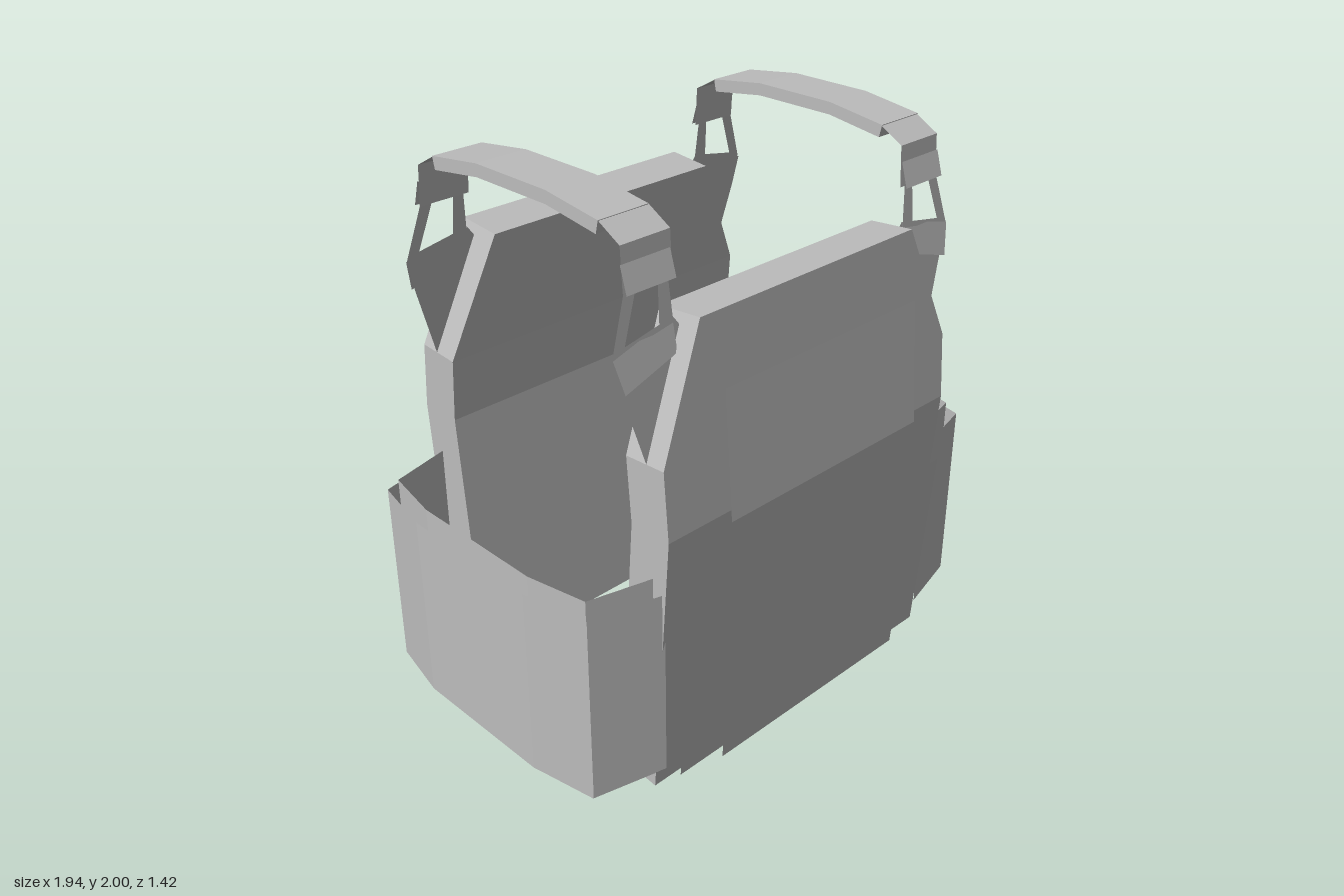
import * as THREE from 'three';

const fabric = new THREE.MeshStandardMaterial({ color: 0xbcbcbc, side: THREE.DoubleSide, flatShading: true });
fabric.name = 'greyFabric';

function add(parent, name, geometry) {
  const mesh = new THREE.Mesh(geometry, fabric);
  mesh.name = name;
  parent.add(mesh);
  return mesh;
}

// Flat-faced geometry from a list of four-cornered faces
function quads(faces) {
  const pos = [];
  for (const [a, b, c, d] of faces) pos.push(...a, ...b, ...c, ...a, ...c, ...d);
  const g = new THREE.BufferGeometry();
  g.setAttribute('position', new THREE.Float32BufferAttribute(pos, 3));
  g.computeVertexNormals();
  return g;
}

// Ribbon between two matching polylines
const strip = (a, b) => quads(a.slice(1).map((p, i) => [a[i], p, b[i + 1], b[i]]));

// Flat cloth outline in x/y, leaned in depth by a rule z(y)
function sheet(outline, z, holes = []) {
  const toV = (l) => l.map(([x, y]) => new THREE.Vector2(x, y));
  const shape = new THREE.Shape(toV(outline));
  for (const h of holes) shape.holes.push(new THREE.Path(toV(h)));
  const g = new THREE.ShapeGeometry(shape);
  const p = g.attributes.position;
  for (let i = 0; i < p.count; i++) p.setZ(i, z(p.getY(i)));
  g.computeVertexNormals();
  return g;
}

// Outline symmetric about x = 0, from its right-hand points going up
const both = (pts) => [...pts, ...pts.map(([x, y]) => [-x, y]).reverse()];

// Lean of the panel below and above its bend at y = 1
const lower = (z) => (y) => z + 0.075 * (y - 1);
const upper = (z) => (y) => z - 0.083 * (y - 1);

function platePanel() {
  // half width, outer y, outer z, inner y, inner z
  const rings = [
    [0.67, 0, 0.54, 0.015, 0.375],
    [0.67, 1, 0.613, 1, 0.45],
    [0.67, 1.24, 0.594, 1.23, 0.432],
    [0.49, 1.665, 0.56, 1.65, 0.392],
  ].map(([w, yo, zo, yi, zi]) => [[-w, yo, zo], [w, yo, zo], [w, yi, zi], [-w, yi, zi]]);
  const faces = [[...rings[0]].reverse(), rings[3]];
  for (let i = 0; i < 3; i++) {
    for (let j = 0; j < 4; j++) {
      const k = (j + 1) % 4;
      faces.push([rings[i][j], rings[i][k], rings[i + 1][k], rings[i + 1][j]]);
    }
  }
  return quads(faces);
}

// Front or back half: panel, layered flaps, patch and strap fittings
function half(name, patch) {
  const g = new THREE.Group();
  g.name = name;
  add(g, 'platePanel', platePanel());
  add(g, 'lowerFlap', sheet(both([[0.615, 0.055], [0.615, 0.78], [0.5, 0.78], [0.5, 1]]), lower(0.676)));
  add(g, 'pouchFace', sheet(both([[0.45, 0.05], [0.45, 1]]), lower(0.708)));
  add(g, 'chestField', sheet(both([[0.45, 1], [0.45, 1.445]]), upper(0.662)));
  add(g, 'chestPatch', sheet(both(patch), upper(0.667)));

  for (const s of [1, -1]) {
    const m = (pts) => pts.map(([x, y]) => [s * x, y]);
    const lean = (off) => (y) => 0.52 + off - 0.08 * (y - 1.24);
    add(g, 'flapTab', sheet(m([[0.5, 0.77], [0.56, 0.77], [0.56, 1], [0.5, 1]]), lower(0.648)));
    // Strap anchor sewn into the sloped shoulder, with its folded loop
    add(g, 'strapAnchor', sheet(m([[0.67, 1.235], [0.745, 1.49], [0.77, 1.6], [0.53, 1.66], [0.5, 1.62]]), lean(0)));
    add(g, 'anchorFold', sheet(m([[0.53, 1.55], [0.745, 1.49], [0.77, 1.6], [0.53, 1.66]]),
      (y) => lean(0)(y) + 0.12 * (1.66 - y)));
    add(g, 'buckleFrame', sheet(
      m([[0.535, 1.82], [0.71, 1.82], [0.71, 1.78], [0.77, 1.6], [0.53, 1.64], [0.54, 1.78]]), lean(0.004),
      [m([[0.58, 1.78], [0.665, 1.78], [0.72, 1.625], [0.585, 1.65]])]));
    add(g, 'slider', sheet(m([[0.525, 1.78], [0.715, 1.78], [0.715, 1.865], [0.525, 1.865]]),
      (y) => 0.5 - 0.3 * (y - 1.78)));
    // Webbing from the shoulder pad down to the buckle
    const path = [[1.97, 0.38], [1.92, 0.47], [1.78, 0.478]];
    add(g, 'webbing', strip(path.map(([y, z]) => [s * 0.52, y, z]), path.map(([y, z]) => [s * 0.71, y, z])));
  }
  return g;
}

// Waist wrap running from the front panel to the back panel
function waistBand(s, corner, side, end, y0, y1) {
  const half = [[0.66, end], corner, side];
  const plan = [...half, ...half.map(([x, z]) => [x, -z]).reverse()];
  const line = (y) => plan.map(([x, z]) => [s * x, y, z]);
  return s > 0 ? strip(line(y0), line(y1)) : strip(line(y1), line(y0));
}

export function createModel() {
  const model = new THREE.Group();
  model.name = 'vest';

  const steppedPatch = [[0.225, 1.22], [0.225, 1.17], [0.39, 1.17], [0.39, 1.335], [0.225, 1.335], [0.225, 1.39]];
  model.add(half('frontHalf', steppedPatch));
  const back = half('backHalf', [[0.335, 1.2], [0.335, 1.325]]);
  back.rotation.y = Math.PI;
  model.add(back);

  // Padded shoulder straps, profile in z/y
  const padProfile = [[0.385, 1.97], [0.16, 2], [-0.16, 2], [-0.385, 1.97],
    [-0.375, 1.927], [-0.16, 1.957], [0.16, 1.957], [0.375, 1.927]];
  for (const s of [1, -1]) {
    const side = s > 0 ? 'left' : 'right';
    const shape = new THREE.Shape(padProfile.map(([z, y]) => new THREE.Vector2(z, y)));
    const pad = new THREE.ExtrudeGeometry(shape, { depth: 0.19, bevelEnabled: false });
    pad.rotateY(-Math.PI / 2).translate(s * 0.617 + 0.095, 0, 0);
    add(model, side + 'ShoulderPad', pad);
    add(model, side + 'OuterWaistBand', waistBand(s, [0.92, 0.52], [0.97, 0.28], 0.585, 0.1, 0.797));
    add(model, side + 'InnerWaistBand', waistBand(s, [0.895, 0.487], [0.937, 0.265], 0.545, 0.057, 0.84));
  }
  return model;
}
